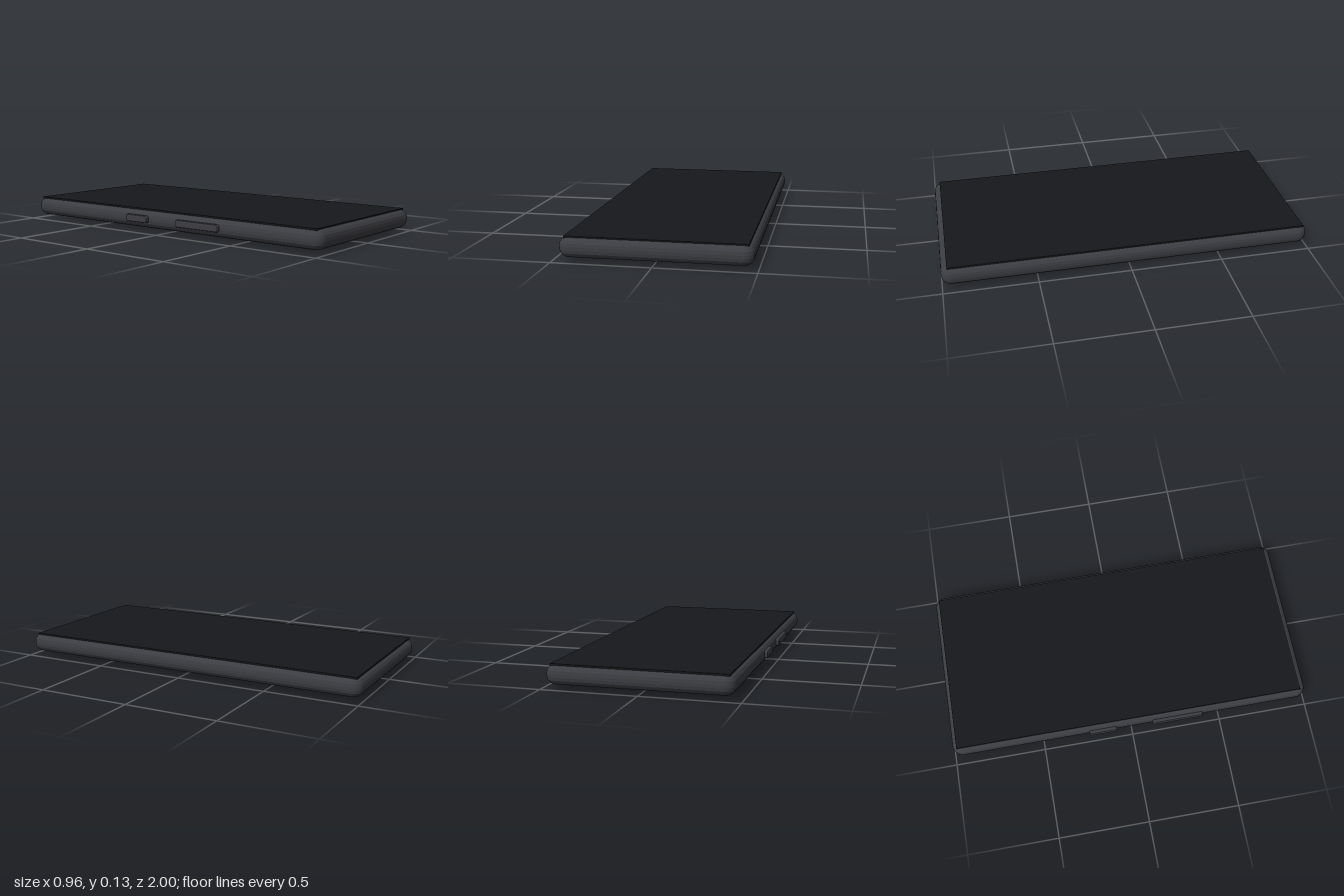
import * as THREE from 'three';

const mat = (color) => new THREE.MeshStandardMaterial({ color });

// Rounded rectangle centred on the origin
function roundedRect(w, h, r) {
  const x = w / 2, y = h / 2;
  const s = new THREE.Shape();
  s.moveTo(-x + r, -y);
  s.lineTo(x - r, -y);
  s.absarc(x - r, -y + r, r, -Math.PI / 2, 0);
  s.lineTo(x, y - r);
  s.absarc(x - r, y - r, r, 0, Math.PI / 2);
  s.lineTo(-x + r, y);
  s.absarc(-x + r, y - r, r, Math.PI / 2, Math.PI);
  s.lineTo(-x, -y + r);
  s.absarc(-x + r, -y + r, r, Math.PI, Math.PI * 1.5);
  return s;
}

// Slab with bevelled rims, centred on the origin, thickness along z
function slab(w, h, thickness, radius, bevel, segments) {
  const g = new THREE.ExtrudeGeometry(
    roundedRect(w - 2 * bevel, h - 2 * bevel, radius - bevel),
    {
      depth: thickness - 2 * bevel,
      bevelThickness: bevel,
      bevelSize: bevel,
      bevelSegments: segments,
      curveSegments: 4,
    });
  return g.center();
}

export function createModel() {
  const model = new THREE.Group();
  const cx = 0.0075;

  function add(name, geometry, material, x, y, z) {
    const mesh = new THREE.Mesh(geometry, material);
    mesh.name = name;
    mesh.position.set(x, y, z);
    model.add(mesh);
    return mesh;
  }

  const metal = mat(0x3c3d42);
  const black = mat(0x17181b);

  // Case with rounded rim
  add('body', slab(0.945, 2, 0.1, 0.055, 0.042, 4).rotateX(-Math.PI / 2), metal, cx, 0.072, 0);

  // Glass on the upper face
  add('screen', new THREE.BoxGeometry(0.895, 0.01, 1.942), black, cx, 0.122, -0.004);

  // Dark cover on the underside
  add('backCover', new THREE.BoxGeometry(0.862, 0.004, 1.916), mat(0x232428), cx, 0.0228, 0);

  // Round camera disc under the far end
  add('camera', new THREE.CylinderGeometry(0.117, 0.117, 0.03, 48), black, 0.244, 0.015, -0.72);

  // Side keys: [name, z centre, length]
  for (const [name, z, length] of [['powerButton', -0.162, 0.155], ['volumeButton', 0.26, 0.285]]) {
    const key = slab(length, 0.04, 0.03, 0.012, 0.008, 2).rotateY(Math.PI / 2);
    add(name, key, metal, -0.467, 0.073, z);
  }

  return model;
}
